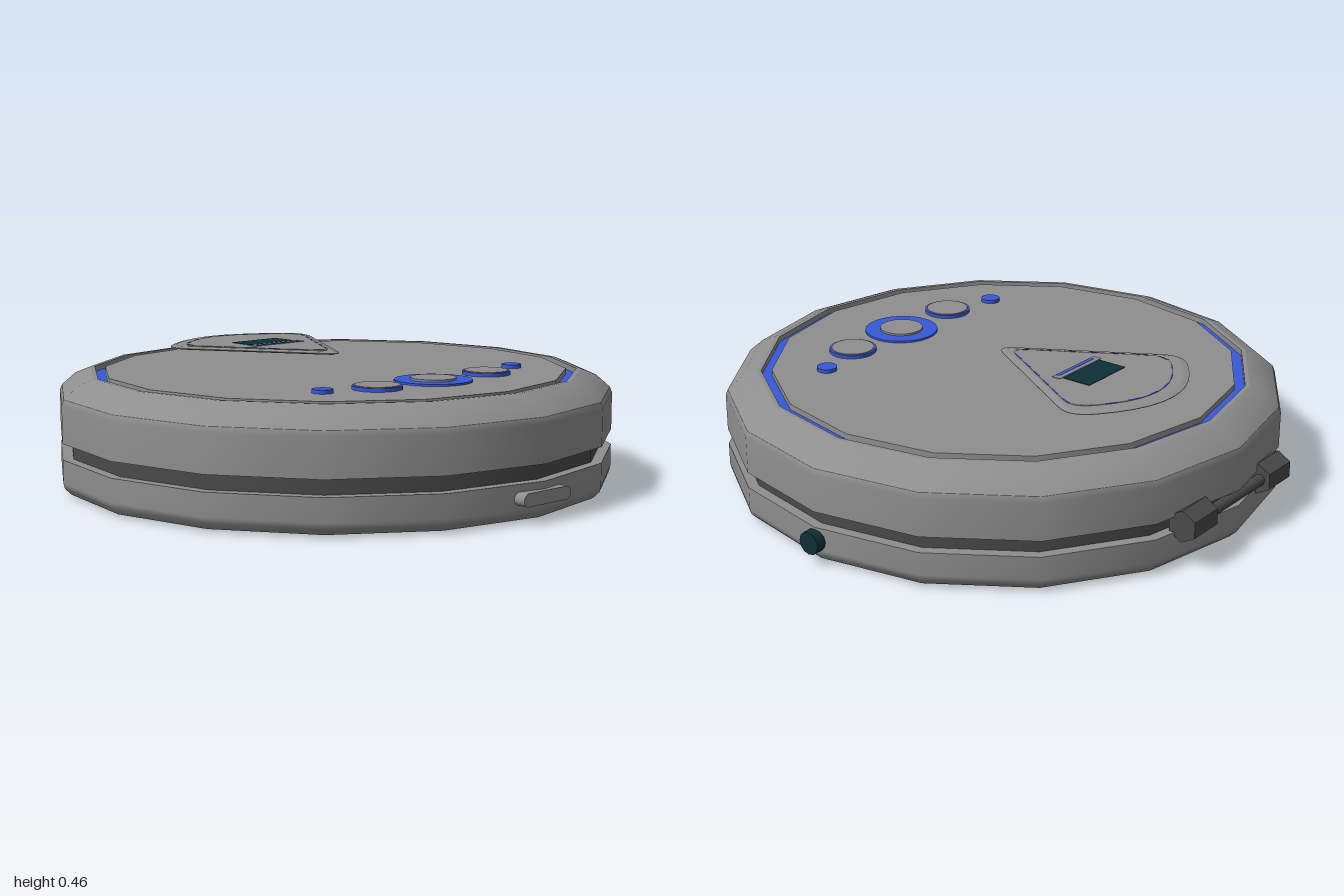
import * as THREE from 'three';

const material = (name, color, side = THREE.FrontSide) => {
  const m = new THREE.MeshStandardMaterial({ color, side });
  m.name = name;
  return m;
};

export function createModel() {
  const silver = material('silver grey', 0x8f8f8f);
  const dark = material('dark grey', 0x4a4a4a);
  const blue = material('blue', 0x3858d8);
  const teal = material('dark teal', 0x0d3038);
  const group = new THREE.Group();
  const CZ = 0.011; // depth centre of the body

  const add = (name, geometry, mat, x = 0, y = 0, z = 0, parent = group) => {
    const mesh = new THREE.Mesh(geometry, mat);
    mesh.name = name;
    mesh.position.set(x, y, z);
    parent.add(mesh);
    return mesh;
  };

  // Sixteen-sided body, one lathe per band so the rims stay crisp
  const band = (name, mat, ...pts) =>
    add(name, new THREE.LatheGeometry(pts.map(p => new THREE.Vector2(...p)), 16), mat, 0, 0, CZ);
  band('base', silver, [0, 0], [0.92, 0]);
  band('baseWall', silver, [0.92, 0], [0.955, 0.008], [0.977, 0.03], [0.982, 0.05], [0.982, 0.13]);
  band('baseRim', silver, [0.982, 0.13], [0.945, 0.13]);
  band('seam', dark, [0.945, 0.13], [0.945, 0.185]);
  band('lidRim', silver, [0.945, 0.185], [0.982, 0.185]);
  band('lidWall', silver, [0.982, 0.185], [0.982, 0.315], [0.974, 0.335]);
  band('lidBevel', silver, [0.974, 0.335], [0.925, 0.378], [0.87, 0.4]);
  band('lidEdge', silver, [0.87, 0.4], [0.855, 0.4]);
  band('grooveOuterWall', silver, [0.855, 0.4], [0.855, 0.38]);
  band('blueRing', blue, [0.855, 0.38], [0.818, 0.38]);
  band('grooveInnerWall', silver, [0.818, 0.38], [0.818, 0.4]);
  band('lidTop', silver, [0.818, 0.4], [0, 0.4]);

  // Rounded triangular window panel, scaled about a point near its middle
  const triangle = s => {
    const px = x => -0.36 + (x + 0.36) * s;
    const shape = new THREE.Shape();
    shape.moveTo(px(-0.03), 0.035 * s);
    shape.lineTo(px(-0.47), 0.3 * s);
    shape.quadraticCurveTo(px(-0.54), 0.342 * s, px(-0.6), 0.27 * s);
    shape.quadraticCurveTo(px(-0.83), 0, px(-0.6), -0.27 * s);
    shape.quadraticCurveTo(px(-0.54), -0.342 * s, px(-0.47), -0.3 * s);
    shape.lineTo(px(-0.03), -0.035 * s);
    shape.quadraticCurveTo(px(0.028), 0, px(-0.03), 0.035 * s);
    return shape;
  };
  const panel = new THREE.Group();
  panel.name = 'windowPanel';
  group.add(panel);
  const rim = new THREE.ExtrudeGeometry(triangle(1), {
    depth: 0.002, bevelThickness: 0.005, bevelSize: 0.02, bevelOffset: -0.02,
    bevelSegments: 1, curveSegments: 10
  }).rotateX(-Math.PI / 2);
  add('windowRim', rim, silver, 0, 0.447, 0, panel);
  const inset = new THREE.ExtrudeGeometry(triangle(0.84), {
    depth: 0.002, bevelEnabled: false, curveSegments: 10
  }).rotateX(-Math.PI / 2);
  add('windowInset', inset, silver, 0, 0.454, 0, panel);

  // Fine blue dashes along the inset outline
  const outline = triangle(0.835).getSpacedPoints(40);
  for (let i = 0; i < 40; i += 2) {
    const a = outline[i], b = outline[i + 1];
    const dash = add('trimDash', new THREE.BoxGeometry(a.distanceTo(b), 0.002, 0.005), blue,
      (a.x + b.x) / 2, 0.456, -(a.y + b.y) / 2, panel);
    dash.rotation.y = Math.atan2(b.y - a.y, b.x - a.x);
  }

  // Display and the slim slider next to it
  add('display', new THREE.BoxGeometry(0.107, 0.004, 0.21), teal, -0.398, 0.456, 0, panel);
  add('sliderPlate', new THREE.BoxGeometry(0.032, 0.004, 0.24), silver, -0.324, 0.456, 0, panel);
  add('sliderStrip', new THREE.BoxGeometry(0.014, 0.004, 0.2), blue, -0.317, 0.457, 0, panel);

  // Control buttons
  const disc = (name, mat, r, y0, y1, x, z) =>
    add(name, new THREE.CylinderGeometry(r, r, y1 - y0, 24), mat, x, (y0 + y1) / 2, z);
  disc('mainButtonRing', blue, 0.133, 0.398, 0.407, 0.485, CZ);
  disc('mainButtonCap', silver, 0.078, 0.4, 0.414, 0.485, CZ);
  for (const s of [-1, 1]) {
    disc('sideButtonRing', blue, 0.084, 0.398, 0.412, 0.485, CZ + s * 0.263);
    disc('sideButtonCap', silver, 0.076, 0.4, 0.415, 0.485, CZ + s * 0.263);
    disc('smallButton', blue, 0.035, 0.398, 0.413, 0.43, CZ + s * 0.455);
  }

  // Hinge on the right side: two hexagonal knuckles and a pin
  const alongZ = (r, len, sides) => new THREE.CylinderGeometry(r, r, len, sides).rotateX(Math.PI / 2);
  for (const s of [-1, 1]) {
    const knuckle = alongZ(0.056, 0.135, 6).toNonIndexed();
    knuckle.computeVertexNormals();
    add('hingeKnuckle', knuckle, dark, -0.951, 0.158, CZ + s * 0.228);
  }
  add('hingePin', alongZ(0.02, 0.4, 8), dark, -0.963, 0.158, CZ);

  // Oblong latch on the left side
  const latch = new THREE.Shape();
  latch.absarc(0.092, 0, 0.022, -Math.PI / 2, Math.PI / 2);
  latch.absarc(-0.092, 0, 0.022, Math.PI / 2, Math.PI * 1.5);
  add('latch', new THREE.ExtrudeGeometry(latch, { depth: 0.05, bevelEnabled: false, curveSegments: 8 })
    .rotateY(Math.PI / 2), silver, 0.95, 0.083, 0.018);

  // Socket at the back
  add('socket', alongZ(0.04, 0.06, 12), teal, 0, 0.083, -0.97);

  return group;
}
